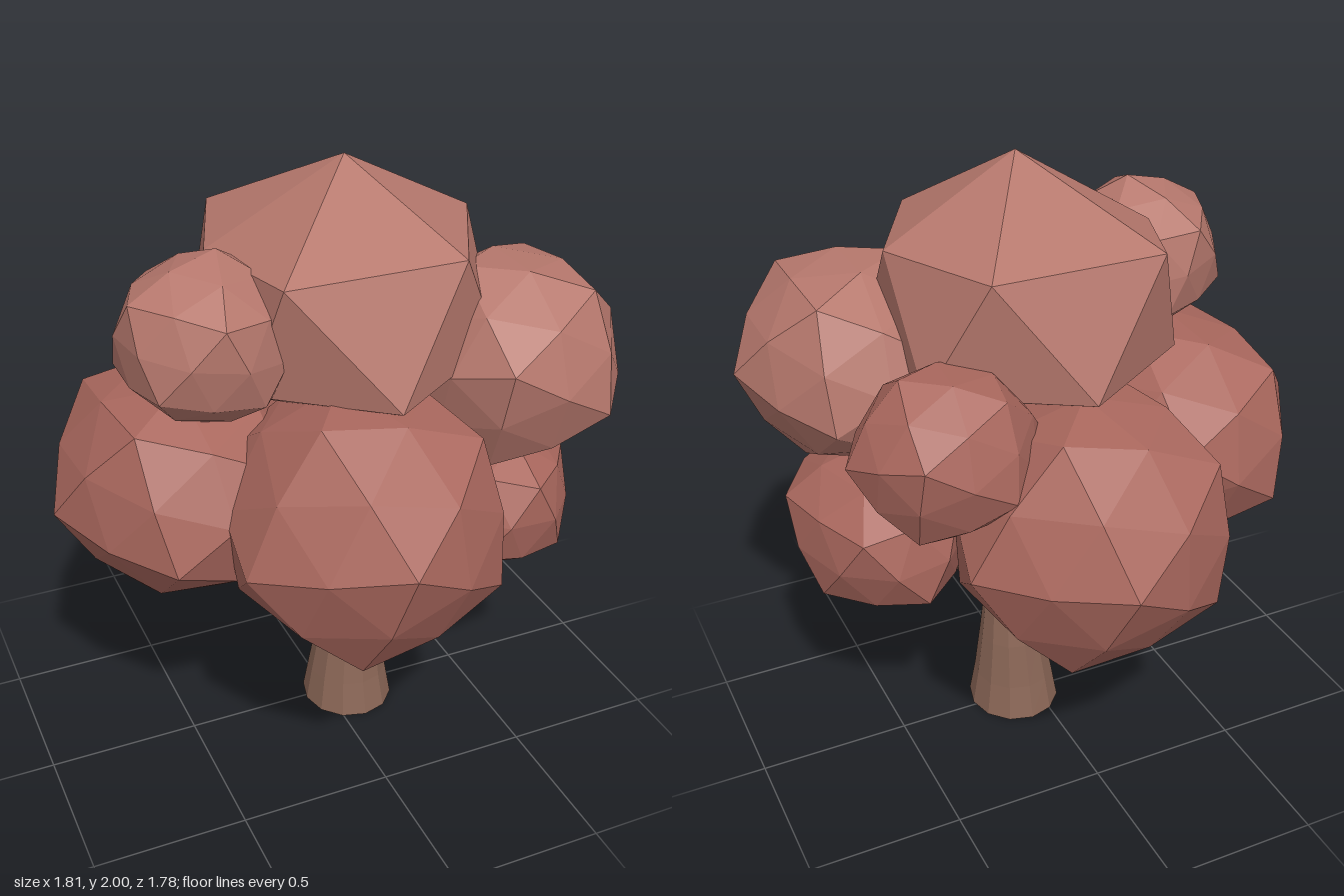
import * as THREE from 'three';
import { ConvexGeometry } from 'three/addons/geometries/ConvexGeometry.js';

const PHI = (1 + Math.sqrt(5)) / 2;

// Orthonormal frame: y along dir, z as close as possible to roll
function frame(dir, roll) {
  const y = dir.clone().normalize();
  const z = roll.clone().addScaledVector(y, -roll.dot(y)).normalize();
  return new THREE.Matrix4().makeBasis(y.clone().cross(z), y, z);
}
const ICO_FRAME = frame(new THREE.Vector3(0, 1, PHI), new THREE.Vector3(0, -1, PHI)).transpose();

const material = (color) => new THREE.MeshStandardMaterial({ color, flatShading: true });

function part(name, geo, mat) {
  const mesh = new THREE.Mesh(geo, mat);
  mesh.name = name;
  return mesh;
}

// Icosahedron with gently bulged edges: one corner points along dir, a neighbour leans towards roll
function clump(name, centre, size, dir, roll, mat) {
  const geo = new THREE.IcosahedronGeometry(1, 1);
  const pos = geo.attributes.position;
  const v = new THREE.Vector3();
  for (let i = 0; i < pos.count; i++) {
    v.fromBufferAttribute(pos, i);
    const c = v.toArray().map(Math.abs);
    const corner = Math.min(...c) < 0.01 && Math.max(...c) < 0.9;
    if (!corner) v.multiplyScalar(0.92);
    pos.setXYZ(i, v.x, v.y, v.z);
  }
  geo.applyMatrix4(frame(new THREE.Vector3(...dir), new THREE.Vector3(...roll)).multiply(ICO_FRAME));
  geo.scale(...size);
  geo.translate(...centre);
  geo.computeVertexNormals();
  return part(name, geo, mat);
}

// Crown top: an apex, an upper and a lower ring of six corners, and a bottom point
function topClump(mat) {
  const points = [
    [0.04, 2, 0.04], [0.04, 1.15, 0.04],
    [0.27, 1.76, 0.4], [0.48, 1.77, 0], [0.3, 1.77, -0.37],
    [-0.25, 1.77, -0.37], [-0.38, 1.74, -0.03], [-0.3, 1.76, 0.4],
    [0, 1.39, 0.55], [0.45, 1.42, 0.28], [0.46, 1.4, -0.24],
    [0.03, 1.4, -0.5], [-0.37, 1.4, -0.24], [-0.37, 1.4, 0.28],
  ];
  return part('topClump', new ConvexGeometry(points.map((p) => new THREE.Vector3(...p))), mat);
}

// Faceted limb through rings of [x, y, z, radiusX, radiusZ]
function limb(name, rings, sides, mat) {
  const pos = [], index = [];
  rings.forEach(([x, y, z, rx, rz], r) => {
    for (let i = 0; i < sides; i++) {
      const a = (i / sides) * Math.PI * 2;
      pos.push(x + Math.sin(a) * rx, y, z + Math.cos(a) * rz);
      if (r === 0) continue;
      const j = (i + 1) % sides, lo = (r - 1) * sides, hi = r * sides;
      index.push(lo + i, lo + j, hi + j, lo + i, hi + j, hi + i);
    }
  });
  // End caps
  const top = (rings.length - 1) * sides;
  for (let i = 1; i < sides - 1; i++) {
    index.push(0, i + 1, i, top, top + i, top + i + 1);
  }
  const geo = new THREE.BufferGeometry();
  geo.setAttribute('position', new THREE.Float32BufferAttribute(pos, 3));
  geo.setIndex(index);
  geo.computeVertexNormals();
  return part(name, geo, mat);
}

export function createModel() {
  const tree = new THREE.Group();
  tree.name = 'tree';
  const leaf = material(0xb5776c);
  const redLeaf = material(0xa9675d);
  const bark = material(0x8a6656);

  // Leaf clumps: name, centre, half sizes, corner direction, roll, material
  const clumps = [
    ['frontClump', [-0.06, 0.99, 0.4], [0.47, 0.46, 0.49], [-0.05, 0.07, 0.48], [-0.41, 0.91, 0], redLeaf],
    ['leftUpperClump', [0.52, 1.35, 0.23], [0.38, 0.36, 0.4], [1, 0.02, 0], [0, -1, 0], leaf],
    ['rightClump', [-0.48, 1.01, -0.025], [0.43, 0.4, 0.48], [-1, -0.1, 0.05], [0, 0.33, 0.2], redLeaf],
    ['rightUpperClump', [-0.45, 1.55, 0.16], [0.29, 0.27, 0.29], [0.15, 1, 0], [-1, 0, 0.15], leaf],
    ['leftLowerClump', [0.51, 0.82, 0.1], [0.31, 0.29, 0.4], [-0.1, -1, 0.05], [0.6, 0, 0.7], redLeaf],
    ['backLeftClump', [0.44, 1.28, -0.35], [0.3, 0.28, 0.28], [1, 0, 0.08], [0, 1, 0], redLeaf],
    ['backClump', [0.02, 0.97, -0.43], [0.47, 0.46, 0.47], [0.16, 0.03, -1], [-0.43, 0.33, 0], redLeaf],
  ];
  tree.add(topClump(leaf));
  clumps.forEach((c) => tree.add(clump(...c)));

  // Trunk with flared foot
  tree.add(limb('trunk', [
    [0.075, 0, 0.015, 0.155, 0.165],
    [0.075, 0.12, 0.015, 0.135, 0.14],
    [0.08, 0.28, 0.015, 0.11, 0.115],
    [0.08, 0.45, 0.02, 0.09, 0.085],
    [0.075, 0.54, 0.02, 0.08, 0.07],
  ], 12, bark));

  // Branches forking into the crown
  const tips = [[0.32, 0.7, -0.02], [0.03, 0.72, 0.16], [0.06, 0.72, -0.22]];
  tips.forEach(([x, y, z]) => tree.add(limb('branch', [
    [0.08, 0.44, 0.02, 0.06, 0.06],
    [0.08 + (x - 0.08) * 0.4, 0.53, 0.02 + (z - 0.02) * 0.4, 0.05, 0.05],
    [x, y, z, 0.04, 0.04],
  ], 8, bark)));

  return tree;
}
